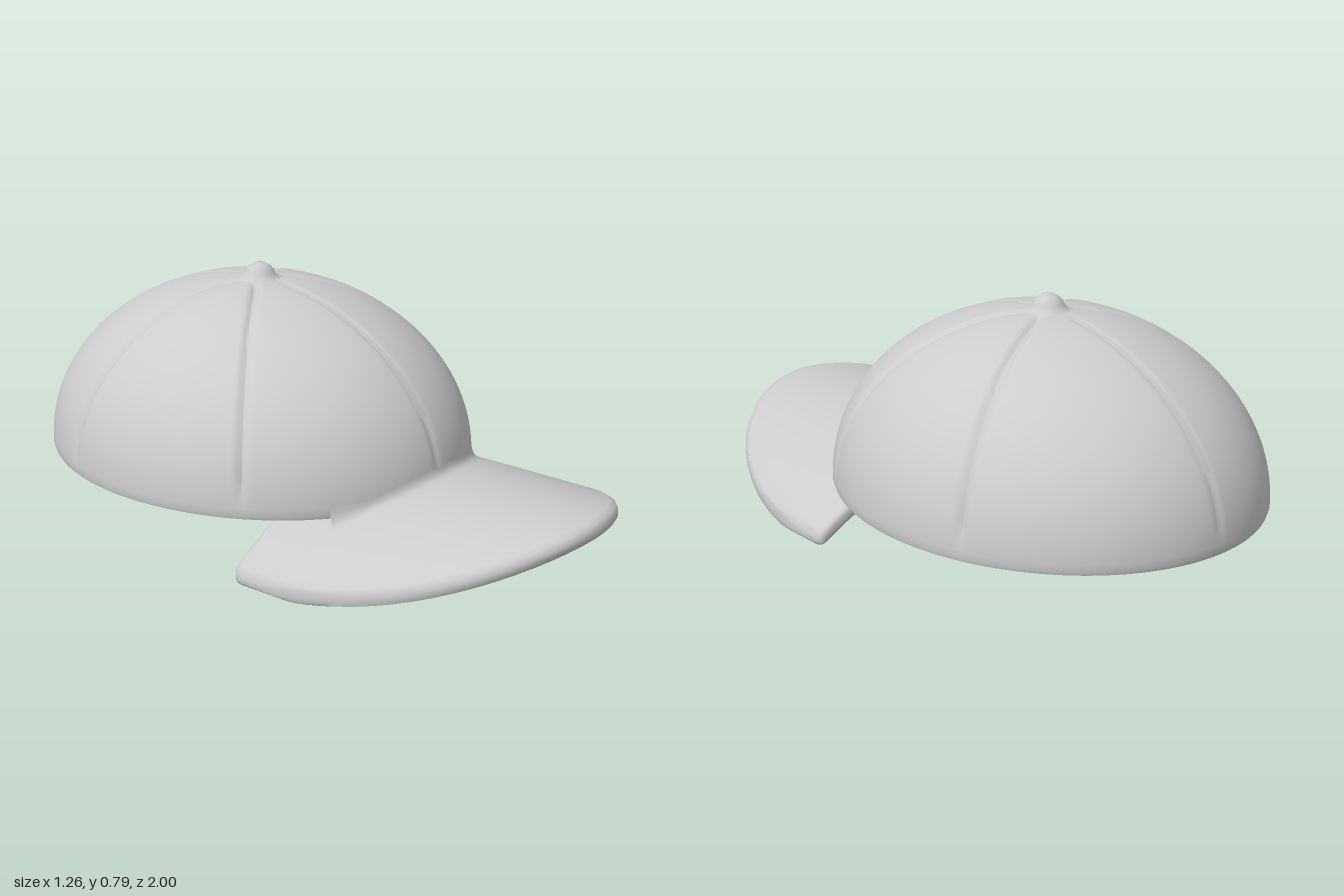
import * as THREE from 'three';
import { toCreasedNormals } from 'three/addons/utils/BufferGeometryUtils.js';

const CROWN = { rx: 0.63, rz: 0.72, base: 0.195, height: 0.55, z: -0.28 };
const brimTop = (x) => 0.235 - 0.55 * x * x;
const brimBottom = (x) => 0.175 - 0.53 * x * x;

// Skin a list of equal-length sections, given as [x, y, z] points
function loft(sections, closed) {
  const n = sections[0].length;
  const index = [];
  for (let i = 0; i < sections.length - 1; i++) {
    for (let j = 0; j < (closed ? n : n - 1); j++) {
      const k = (j + 1) % n;
      const a = i * n + j, b = i * n + k, c = a + n, d = b + n;
      index.push(a, b, c, c, b, d);
    }
  }
  const geo = new THREE.BufferGeometry();
  geo.setAttribute('position', new THREE.Float32BufferAttribute(sections.flat(2), 3));
  geo.setIndex(index);
  return toCreasedNormals(geo, 0.8);
}

// Half-ellipsoid with a flat underside and six pressed-in panel seams
function crownGeometry() {
  const profile = [[0, 0.18], [0.5, 0.18], [0.98, 0.18], [0.995, 0.184]].map((p) => new THREE.Vector2(...p));
  const rings = 40;
  for (let i = 0; i <= rings; i++) {
    const t = (i / rings) * Math.PI / 2;
    profile.push(new THREE.Vector2(i === rings ? 0 : Math.cos(t), CROWN.base + CROWN.height * Math.sin(t)));
  }
  const geo = new THREE.LatheGeometry(profile, 360, Math.PI, Math.PI * 2);

  const deg = Math.PI / 180;
  const seams = [[0, 0.006], [180, 0.005], [58, 0.012], [-58, 0.012], [112, 0.012], [-112, 0.012]];
  const pos = geo.attributes.position;
  for (let i = 0; i < pos.count; i++) {
    let x = pos.getX(i), y = pos.getY(i), z = pos.getZ(i);
    const r = Math.hypot(x, z);
    const angle = Math.atan2(x, z);
    const fade = THREE.MathUtils.smoothstep(y, 0.2, 0.3) * THREE.MathUtils.smoothstep(r, 0.06, 0.18);
    let dent = 0;
    for (const [a, depth] of seams) {
      const turn = angle - a * deg;
      const d = Math.atan2(Math.sin(turn), Math.cos(turn)) * r * 0.67;
      dent += depth * Math.exp(-((d / 0.013) ** 2)) * fade;
    }
    const up = Math.max(0, y - CROWN.base) / CROWN.height;
    x *= CROWN.rx - dent;
    z *= CROWN.rz - dent;
    y -= dent * up;
    pos.setXYZ(i, x, y, z + CROWN.z);
  }
  return toCreasedNormals(geo, 0.8);
}

// Arched visor: rounded sections running back to front, stepped across x
function brimGeometry() {
  const sections = [];
  const steps = 72;
  for (let i = 0; i <= steps; i++) {
    const u = (i / steps - 0.5) * Math.PI;
    const x = 0.59 * Math.sin(u);
    const ax = Math.abs(x);
    const front = 0.2 + 0.8 * Math.cos(u);
    const corner = Math.min(1, Math.max(0, (ax - 0.56) / 0.03));
    const back = 0.11 + 0.03 * (1 - Math.sqrt(1 - corner * corner));
    const end = Math.min(1, Math.max(0, (ax - 0.572) / 0.018));
    const round = Math.sqrt(Math.max(0, 1 - end * end));
    const mid = (brimTop(x) + brimBottom(x)) / 2;
    const half = (brimTop(x) - brimBottom(x)) / 2 * round;
    const outline = [
      [back, -0.5], [back, 0.5], [back + 0.006, 0.85], [back + 0.018, 1],
      [front - 0.03, 1], [front - 0.009, 0.78], [front, 0.25],
      [front, -0.25], [front - 0.009, -0.78], [front - 0.03, -1],
      [back + 0.018, -1], [back + 0.006, -0.85],
    ];
    sections.push(outline.map(([z, v]) => [x, mid + half * v, z]));
  }
  return loft(sections, true);
}

// Soft concave join where the crown meets the visor
function joinGeometry() {
  const onCrown = (phi, y) => {
    const k = Math.sqrt(1 - ((y - CROWN.base) / CROWN.height) ** 2);
    return new THREE.Vector3(CROWN.rx * k * Math.sin(phi), y, CROWN.z + CROWN.rz * k * Math.cos(phi));
  };
  const sections = [];
  for (let i = 0; i <= 40; i++) {
    const phi = (i / 40 - 0.5) * 1.24;
    const foot = onCrown(phi, Math.max(CROWN.base, brimTop(CROWN.rx * Math.sin(phi))));
    const upper = onCrown(phi, foot.y + 0.03);
    const outer = foot.clone().add(new THREE.Vector3(0.03 * Math.sin(phi), 0, 0.03 * Math.cos(phi)));
    foot.y = brimTop(foot.x);
    outer.y = brimTop(outer.x);
    const curve = new THREE.QuadraticBezierCurve3(upper, foot, outer);
    sections.push(curve.getPoints(5).map((p) => p.toArray()));
  }
  return loft(sections, false);
}

// Domed button with a flared foot
function buttonGeometry() {
  const points = [[0.085, 0.732], [0.065, 0.743], [0.053, 0.75], [0.047, 0.762], [0.038, 0.777], [0.022, 0.788], [0, 0.792]];
  return new THREE.LatheGeometry(points.map((p) => new THREE.Vector2(...p)), 32);
}

export function createModel() {
  const fabric = new THREE.MeshStandardMaterial({ color: 0xcccccc });
  fabric.name = 'greyFabric';
  const group = new THREE.Group();
  group.name = 'cap';
  const add = (name, geometry) => {
    const mesh = new THREE.Mesh(geometry, fabric);
    mesh.name = name;
    group.add(mesh);
    return mesh;
  };
  add('crown', crownGeometry());
  add('brim', brimGeometry());
  add('brimJoin', joinGeometry());
  add('topButton', buttonGeometry()).position.z = CROWN.z + 0.005;
  return group;
}
